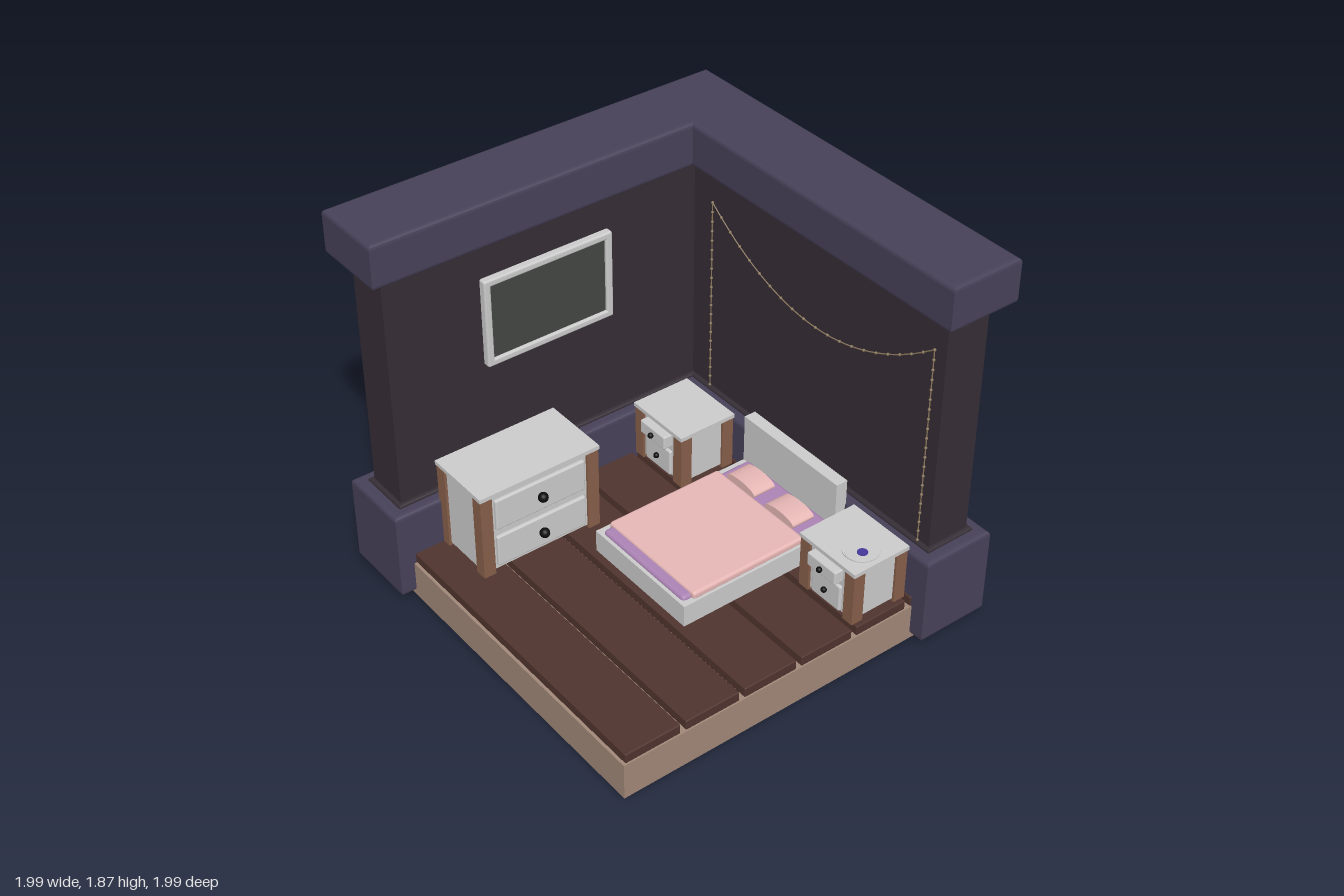
import * as THREE from 'three';
import { RoundedBoxGeometry } from 'three/addons/geometries/RoundedBoxGeometry.js';

const mat = (color) => new THREE.MeshStandardMaterial({ color });
const GREY = mat(0xcccccc), TRIM = mat(0x474158), WALL = mat(0x362e36), BASE = mat(0xa18878),
  PLANK = mat(0x50342f), WOOD = mat(0x885f4b), BLACK = mat(0x0c0c0c), PINK = mat(0xe6b7b5),
  PURPLE = mat(0xac84b5), SCREEN = mat(0x434643), CORD = mat(0x8d7a5f), BLUE = mat(0x43389a);

function add(parent, name, geometry, material, x = 0, y = 0, z = 0) {
  const mesh = new THREE.Mesh(geometry, material);
  mesh.name = name;
  mesh.position.set(x, y, z);
  parent.add(mesh);
  return mesh;
}

// Box given by its limits, optionally with rounded edges
function box(parent, name, material, [x0, x1], [y0, y1], [z0, z1], r = 0) {
  const s = [x1 - x0, y1 - y0, z1 - z0];
  const geo = r ? new RoundedBoxGeometry(...s, 2, r) : new THREE.BoxGeometry(...s);
  return add(parent, name, geo, material, (x0 + x1) / 2, (y0 + y1) / 2, (z0 + z1) / 2);
}

// L-shaped slab along the back and the +x side
function corner(parent, name, material, outer, inner, y0, y1, b) {
  const shape = new THREE.Shape([
    [-outer, inner], [inner, inner], [inner, -outer], [outer, -outer], [outer, outer], [-outer, outer],
  ].map(([x, y]) => new THREE.Vector2(x, y)));
  const geo = new THREE.ExtrudeGeometry(shape, {
    depth: y1 - y0 - 2 * b, bevelEnabled: b > 0, bevelThickness: b, bevelSize: b, bevelOffset: -b, bevelSegments: 3,
  });
  geo.rotateX(-Math.PI / 2);
  return add(parent, name, geo, material, 0, y0 + b, 0);
}

// Chest facing +z, standing on y = 0: posts, panels, top and drawers
function cabinet(name, w, h, d, drawers, knobR) {
  const g = new THREE.Group();
  g.name = name;
  const p = 0.06, X = w / 2, Z = d / 2, top = 0.02;
  for (const sx of [-1, 1]) for (const sz of [-1, 1])
    add(g, 'cornerPost', new THREE.BoxGeometry(p, h - top, p), WOOD, sx * (X - p / 2), (h - top) / 2, sz * (Z - p / 2));
  box(g, 'body', GREY, [-X + 0.012, X - 0.012], [0.015, h - top], [-Z + 0.012, Z - 0.012]);
  box(g, 'top', GREY, [-X - 0.004, X + 0.004], [h - top, h], [-Z - 0.005, Z + 0.005]);
  for (const { width, y0, y1, out } of drawers) {
    box(g, 'drawer', GREY, [-width / 2, width / 2], [y0, y1], [Z - 0.03, Z + out], 0.008);
    add(g, 'knob', new THREE.SphereGeometry(knobR, 16, 12), BLACK, 0, (y0 + y1) / 2, Z + out + knobR * 0.6);
  }
  return g;
}

export function createModel() {
  const room = new THREE.Group();
  room.name = 'bedroom';

  // Floor
  const floor = new THREE.Group();
  floor.name = 'floor';
  room.add(floor);
  box(floor, 'floorBase', BASE, [-0.92, 0.92], [0, 0.185], [-0.92, 0.92]);
  for (let i = 0; i < 6; i++) {
    const x = -0.908 + i * 0.306;
    box(floor, 'plank', PLANK, [x, x + 0.278], [0.185, 0.235], [-0.91, 0.915], 0.006);
  }

  // Walls with heavy trim
  corner(room, 'walls', WALL, 0.92, 0.70, 0.1, 1.8, 0);
  corner(room, 'lowerCove', WALL, 0.94, 0.68, 0.45, 0.485, 0.012);
  corner(room, 'upperCove', WALL, 0.94, 0.68, 1.635, 1.67, 0.012);
  corner(room, 'lowerTrim', TRIM, 0.995, 0.63, 0.025, 0.47, 0.02);
  corner(room, 'upperTrim', TRIM, 0.995, 0.63, 1.65, 1.865, 0.02);

  // Television on the back wall
  const tv = new THREE.Group();
  tv.name = 'television';
  room.add(tv);
  const X = [-0.45, 0.22], Y = [1.02, 1.46], f = 0.035, z = [-0.71, -0.665];
  for (const y of [Y[0], Y[1] - f]) box(tv, 'frameRail', GREY, X, [y, y + f], z, 0.01);
  for (const x of [X[0], X[1] - f]) box(tv, 'frameStile', GREY, [x, x + f], Y, z, 0.01);
  box(tv, 'screen', SCREEN, [X[0] + 0.02, X[1] - 0.02], [Y[0] + 0.02, Y[1] - 0.02], [-0.71, -0.68]);

  // Dresser
  const dresser = cabinet('dresser', 0.62, 0.442, 0.34, [
    { width: 0.47, y0: 0.035, y1: 0.195, out: 0.004 }, { width: 0.47, y0: 0.235, y1: 0.395, out: 0.004 },
  ], 0.024);
  dresser.position.set(-0.45, 0.235, -0.475);
  room.add(dresser);

  // Nightstands, upper drawer pulled out
  for (const zc of [-0.455, 0.72]) {
    const stand = cabinet('nightstand', 0.345, 0.285, 0.3, [
      { width: 0.18, y0: 0.02, y1: 0.155, out: 0.003 }, { width: 0.18, y0: 0.182, y1: 0.252, out: 0.036 },
    ], 0.014);
    stand.position.set(0.455, 0.235, zc);
    stand.rotation.y = -Math.PI / 2;
    room.add(stand);
  }

  // Flat dish on the front nightstand
  add(room, 'dishBase', new THREE.CylinderGeometry(0.083, 0.083, 0.004, 32), GREY, 0.43, 0.522, 0.79);
  add(room, 'dish', new THREE.CylinderGeometry(0.07, 0.07, 0.004, 32), GREY, 0.42, 0.524, 0.80);
  add(room, 'dishButton', new THREE.CylinderGeometry(0.024, 0.024, 0.004, 20), BLUE, 0.42, 0.527, 0.81);

  // Bed
  const bed = new THREE.Group();
  bed.name = 'bed';
  room.add(bed);
  box(bed, 'bedFrame', GREY, [-0.262, 0.6], [0.235, 0.345], [-0.165, 0.465]);
  box(bed, 'headboard', GREY, [0.575, 0.635], [0.235, 0.59], [-0.165, 0.465]);
  box(bed, 'mattress', PURPLE, [-0.245, 0.578], [0.28, 0.364], [-0.135, 0.435], 0.02);
  box(bed, 'blanket', PINK, [-0.2, 0.412], [0.335, 0.376], [-0.152, 0.452], 0.015);
  for (const zc of [0.01, 0.277]) {
    const geo = new THREE.CylinderGeometry(0.098, 0.098, 0.12, 24);
    geo.rotateZ(Math.PI / 2).scale(1, 0.3, 1);
    add(bed, 'pillow', geo, PINK, 0.473, 0.378, zc);
  }

  // Light garland on the side wall, sagging between two pegs with hanging ends
  const garland = new THREE.Group();
  garland.name = 'garland';
  room.add(garland);
  const at = (zz, y) => new THREE.Vector3(0.69, y, zz);
  const sag = [];
  for (let i = 0; i <= 12; i++) {
    const t = i / 6 - 1;
    sag.push(at(0.15 + 0.71 * t, 1.2 + 0.28 * t * t));
  }
  const strands = [
    new THREE.CatmullRomCurve3(sag),
    new THREE.LineCurve3(at(-0.56, 1.48), at(-0.56, 0.49)),
    new THREE.LineCurve3(at(0.86, 1.48), at(0.86, 0.49)),
  ];
  const bulb = new THREE.SphereGeometry(0.007, 8, 6);
  for (const curve of strands) {
    add(garland, 'cord', new THREE.TubeGeometry(curve, 32, 0.003, 6), CORD);
    for (const p of curve.getSpacedPoints(20)) add(garland, 'bulb', bulb, CORD, p.x, p.y, p.z);
  }
  return room;
}
